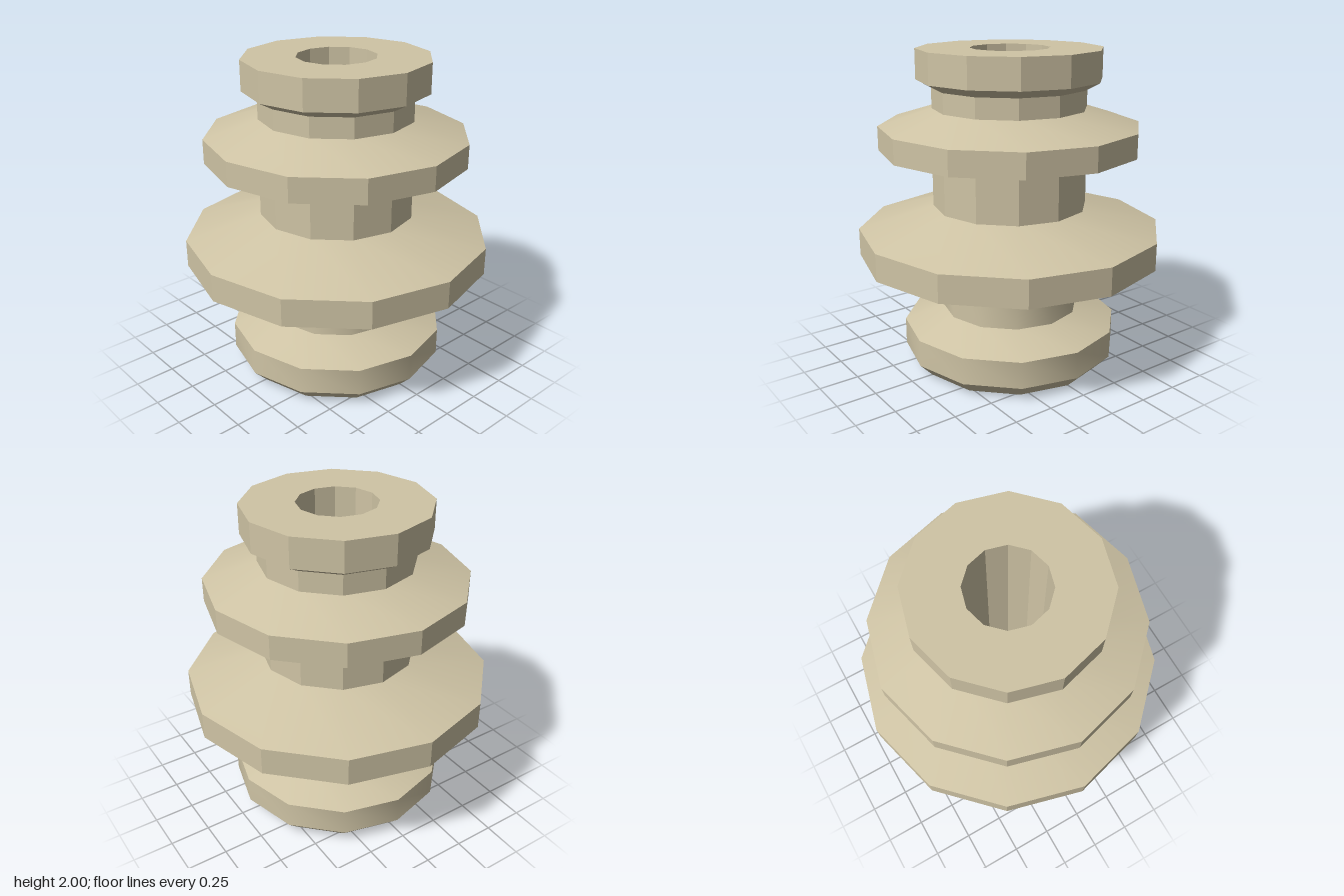
import * as THREE from 'three';
import { toCreasedNormals } from 'three/addons/utils/BufferGeometryUtils.js';

const SIDES = 12;
const FLAT = 0.5;   // crease angle that keeps the twelve facets sharp
const ROUND = 0.55; // crease angle that blends neighbouring facets

export function createModel() {
  const group = new THREE.Group();
  group.name = 'ringedSpool';
  const clay = new THREE.MeshStandardMaterial({ color: 0xcfc4a5 });
  clay.name = 'sandClay';

  // Turns a [radius, height] profile into one named ring of the spool
  function turn(name, crease, profile) {
    const points = profile.map(([r, y]) => new THREE.Vector2(r, y));
    const lathe = new THREE.LatheGeometry(points, SIDES);
    const mesh = new THREE.Mesh(toCreasedNormals(lathe, crease), clay);
    mesh.name = name;
    group.add(mesh);
  }

  // Base: underside, chamfer, wall and sloped shoulder
  turn('baseCollar', ROUND, [[0.245, 0], [0.605, 0], [0.687, 0.085], [0.687, 0.255], [0.437, 0.348]]);
  turn('lowerNeck', ROUND, [[0.437, 0.348], [0.437, 0.647]]);

  // Widest disc
  turn('largeFlange', FLAT, [[0.437, 0.647], [0.956, 0.712], [0.956, 0.884], [0.485, 1.025]]);
  turn('waist', FLAT, [[0.485, 1.025], [0.485, 1.335]]);

  // Smaller disc
  turn('smallFlange', FLAT, [[0.485, 1.335], [0.812, 1.385], [0.812, 1.535], [0.48, 1.64]]);
  turn('upperNeck', FLAT, [[0.48, 1.64], [0.48, 1.765]]);

  // Top collar with its flat rim
  turn('topCollar', FLAT, [[0.48, 1.765], [0.572, 1.815], [0.572, 2], [0.245, 2]]);

  // Hole through the middle, facing inwards
  turn('bore', FLAT, [[0.245, 2], [0.245, 0]]);

  return group;
}
